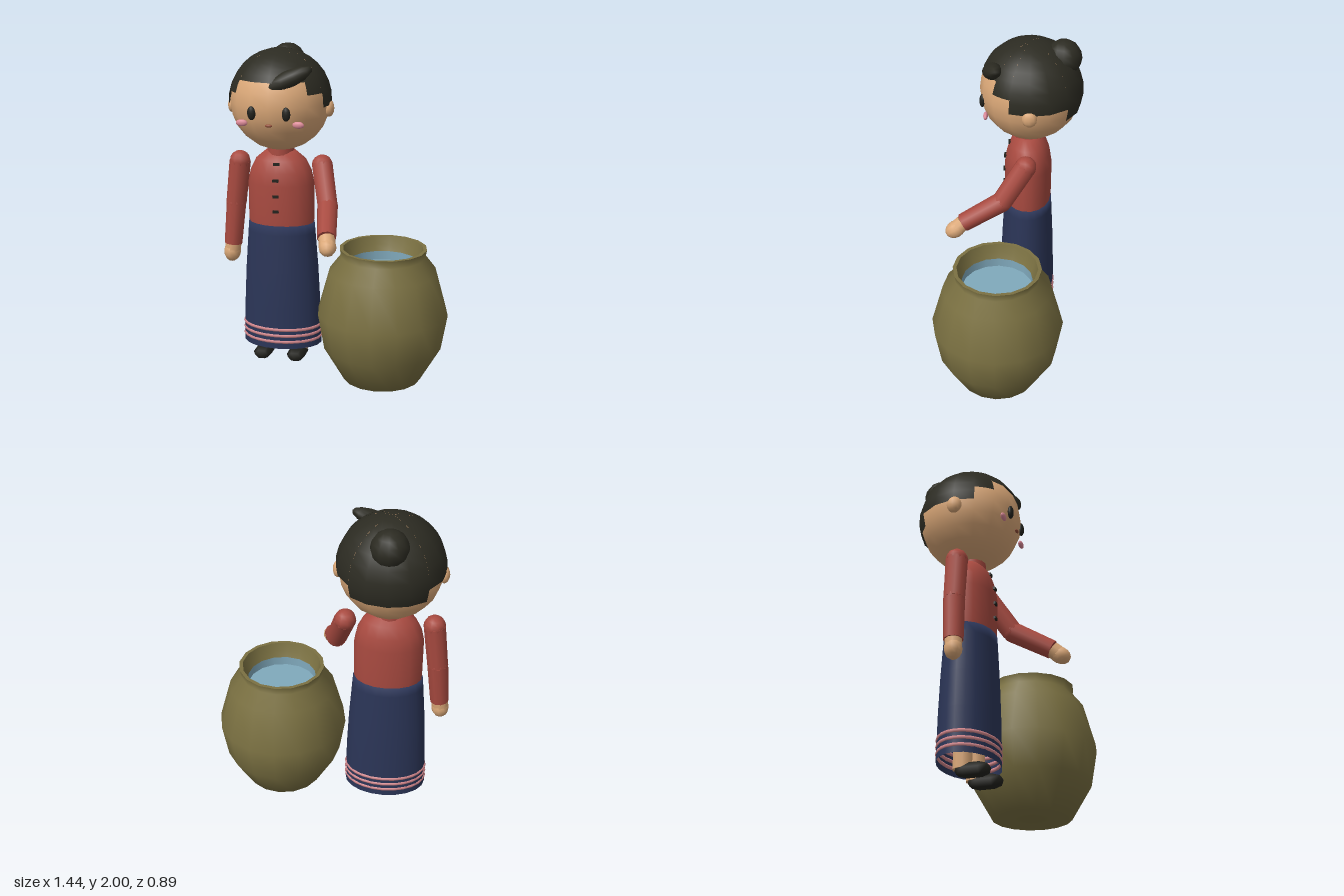
import * as THREE from 'three';

const mat = (name, color, side = THREE.FrontSide) => {
  const m = new THREE.MeshStandardMaterial({ color, side });
  m.name = name;
  return m;
};

export function createModel() {
  const skin = mat('skin', 0xdba878);
  const hair = mat('hair', 0x2c2b22, THREE.DoubleSide);
  const red = mat('blouse red', 0xa84a40);
  const navy = mat('skirt navy', 0x2b3557, THREE.DoubleSide);
  const pink = mat('stripe pink', 0xd0858a);
  const blush = mat('blush', 0xdd8a98);
  const clay = mat('clay', 0x7b7142, THREE.DoubleSide);
  const blue = mat('water', 0x80a9bc, THREE.DoubleSide);
  const dark = mat('dark', 0x22221d);
  const lip = mat('lip', 0x94503a);

  const model = new THREE.Group();
  const add = (parent, name, geo, material, pos = [0, 0, 0], scale = [1, 1, 1], rot = [0, 0, 0]) => {
    const m = new THREE.Mesh(geo, material);
    m.name = name;
    m.position.set(...pos);
    m.scale.set(...scale);
    m.rotation.set(...rot);
    parent.add(m);
    return m;
  };
  const ball = (parent, name, material, pos, radii, rot, w = 12, h = 8) =>
    add(parent, name, new THREE.SphereGeometry(1, w, h), material, pos, radii, rot);
  const lathe = (pts, n) => new THREE.LatheGeometry(pts.map(p => new THREE.Vector2(...p)), n);
  // tapered cylinder between two points
  const limb = (parent, name, material, a, b, ra, rb, n = 10) => {
    const A = new THREE.Vector3(...a), B = new THREE.Vector3(...b), d = B.clone().sub(A);
    const m = add(parent, name, new THREE.CylinderGeometry(rb, ra, d.length(), n), material);
    m.position.copy(A).add(B).multiplyScalar(0.5);
    m.quaternion.setFromUnitVectors(new THREE.Vector3(0, 1, 0), d.normalize());
    return m;
  };

  // ---- figure, local origin on its own vertical axis
  const figure = new THREE.Group();
  figure.name = 'figure';
  figure.position.set(-0.35, 0, -0.125);
  model.add(figure);

  // head
  const head = new THREE.Group();
  head.name = 'head';
  head.position.set(0, 1.68, -0.01);
  figure.add(head);
  ball(head, 'face', skin, [0, 0, 0], [0.305, 0.305, 0.305], undefined, 16, 12);

  // hair cap in sectors, each reaching further down towards the back
  const R = 0.316, deg = Math.PI / 180;
  const sector = (from, to, drop) => add(head, 'hairCap', new THREE.SphereGeometry(
    R, Math.round((to - from) / 22.5), 8, (90 + from) * deg, (to - from) * deg, 0, Math.acos(drop / R)), hair);
  sector(-45, 45, 0.147);
  sector(135, 225, -0.097);
  for (const [a, b, y] of [[45, 67.5, 0.072], [67.5, 135, -0.015]]) {
    sector(a, b, y);
    sector(-b, -a, y);
  }
  ball(head, 'hairBun', hair, [0, 0.21, -0.19], [0.11, 0.11, 0.11]);
  ball(head, 'fringe', hair, [0.105, 0.165, 0.225], [0.155, 0.05, 0.058], [0.3, 0.3, 0.36], 10, 8);

  // facial features
  for (const s of [-1, 1]) {
    ball(head, 'ear', skin, [s * 0.3, -0.04, 0], [0.032, 0.052, 0.046], undefined, 10, 8);
    ball(head, 'eye', dark, [s * 0.105, -0.032, 0.284], [0.026, 0.042, 0.018]);
    ball(head, 'cheek', blush, [s * 0.172, -0.097, 0.262], [0.036, 0.021, 0.014]);
  }
  ball(head, 'mouth', lip, [0, -0.103, 0.29], [0.022, 0.009, 0.01]);

  // blouse
  add(figure, 'collar', new THREE.CylinderGeometry(0.082, 0.085, 0.08, 14), red, [0, 1.36, 0]);
  add(figure, 'blouse', lathe([[0.2, 0.88], [0.206, 0.95], [0.207, 1.17], [0.19, 1.25],
    [0.155, 1.32], [0.095, 1.37], [0, 1.385]], 18), red, [0, 0, 0], [1, 1, 0.7]);
  [[1.305, 0.113], [1.208, 0.14], [1.11, 0.145], [1.015, 0.145]].forEach(([y, z]) =>
    add(figure, 'button', new THREE.BoxGeometry(0.036, 0.016, 0.02), dark, [0, y, z]));

  // skirt with hem stripes
  add(figure, 'skirt', lathe([[0.25, 0.125], [0.243, 0.4], [0.232, 0.62], [0.214, 0.86], [0.209, 0.92], [0, 0.921]], 20),
    navy, [0, 0, 0], [1, 1, 0.7]);
  for (const y of [0.25, 0.21, 0.17])
    add(figure, 'skirtStripe', new THREE.TorusGeometry(0.244, 0.011, 6, 24), pink,
      [0, y, 0], [1, 0.7, 1], [Math.PI / 2, 0, 0]);

  // legs and shoes
  for (const s of [-1, 1]) {
    limb(figure, 'leg', skin, [s * 0.108, 0.07, 0], [s * 0.108, 0.5, 0], 0.055, 0.055);
    add(figure, 'shoe', new THREE.CapsuleGeometry(0.06, 0.09, 2, 6), dark,
      [s * 0.108, 0.065, 0.06], [1, 1, 0.68], [Math.PI / 2, 0, 0]);
  }

  // arms: shoulder, elbow, wrist, hand
  const arm = (name, S, E, W, H) => {
    const g = new THREE.Group();
    g.name = name;
    figure.add(g);
    ball(g, 'shoulder', red, S, [0.066, 0.066, 0.066], undefined, 10, 8);
    limb(g, 'upperSleeve', red, S, E, 0.066, 0.063);
    ball(g, 'elbow', red, E, [0.063, 0.063, 0.063], undefined, 10, 8);
    const sleeve = limb(g, 'lowerSleeve', red, E, W, 0.063, 0.057);
    limb(g, 'wrist', skin, W, H, 0.05, 0.05);
    ball(g, 'hand', skin, H, [0.054, 0.066, 0.052], undefined, 10, 8).quaternion.copy(sleeve.quaternion);
  };
  arm('rightArm', [-0.262, 1.288, 0], [-0.292, 1.02, 0], [-0.315, 0.755, 0.01], [-0.322, 0.7, 0.012]);
  arm('leftArm', [0.262, 1.288, 0.01], [0.325, 1.075, 0.15], [0.37, 0.945, 0.385], [0.385, 0.908, 0.43]);

  // ---- water jar
  const jar = new THREE.Group();
  jar.name = 'waterJar';
  jar.position.set(0.32, 0, 0.036);
  model.add(jar);
  add(jar, 'jarBody', lathe([[0, 0], [0.24, 0], [0.362, 0.21], [0.4, 0.43], [0.328, 0.69], [0.255, 0.785],
    [0.265, 0.835]], 16), clay);
  add(jar, 'jarRim', lathe([[0.265, 0.835], [0.243, 0.835]], 16), clay);
  add(jar, 'jarNeckInside', lathe([[0.243, 0.835], [0.23, 0.785], [0.213, 0.745]], 16), clay);
  add(jar, 'waterEdge', lathe([[0.213, 0.745], [0.213, 0.69]], 16), blue);
  add(jar, 'waterSurface', new THREE.CircleGeometry(0.213, 16), blue, [0, 0.69, 0], [1, 1, 1], [-Math.PI / 2, 0, 0]);

  return model;
}
